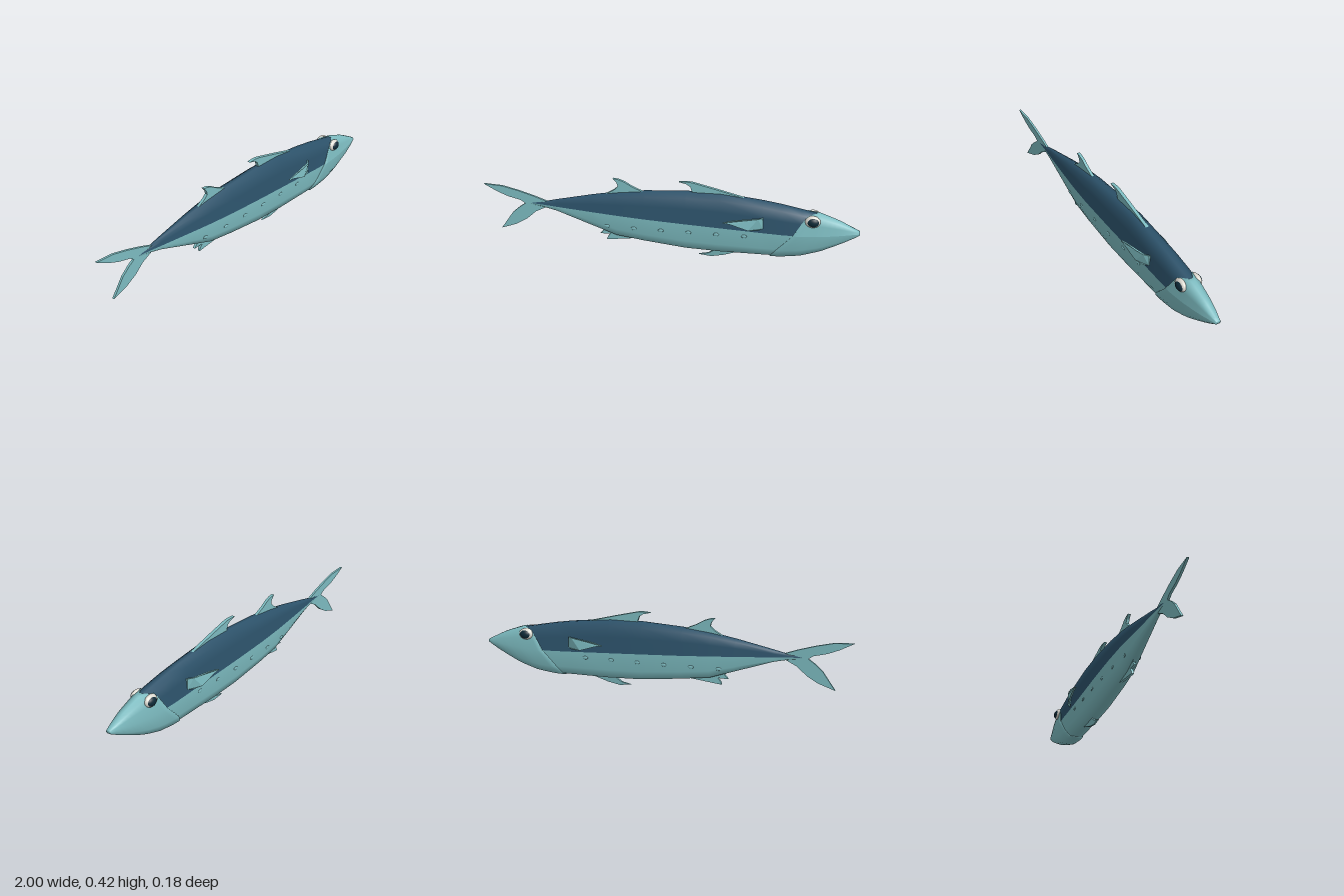
import * as THREE from 'three';

const mat = (name, color, side = THREE.FrontSide) => {
  const m = new THREE.MeshStandardMaterial({ color, side });
  m.name = name;
  return m;
};

// Body stations: x, top, colour split, bottom, half width
const STATIONS = [
  [-0.78, 0.248, 0.245, 0.241, 0.004], [-0.68, 0.254, 0.24, 0.228, 0.01],
  [-0.6, 0.272, 0.236, 0.21, 0.018], [-0.4, 0.313, 0.226, 0.14, 0.036],
  [-0.27, 0.335, 0.22, 0.095, 0.047], [-0.12, 0.352, 0.212, 0.075, 0.054],
  [0.1, 0.364, 0.201, 0.05, 0.057], [0.28, 0.364, 0.192, 0.043, 0.057],
  [0.5, 0.338, 0.181, 0.043, 0.057], [0.6, 0.322, 0.177, 0.044, 0.058],
  [0.7, 0.302, 0.175, 0.056, 0.056], [0.8, 0.282, 0.178, 0.085, 0.049],
  [0.9, 0.248, 0.185, 0.13, 0.037], [0.96, 0.219, 0.19, 0.16, 0.026],
  [1, 0.2, 0.191, 0.182, 0.015],
];

// Half cross-sections: width factor, height factor, x of the gill edge
const UPPER = [[1, 0, 0.66], [0.83, 0.5, 0.7], [0.72, 0.86, 0.73], [0.2, 1, 0.775]];
const LOWER = [[1, 0, 0.66], [0.96, 0.64, 0.58], [0.65, 0.95, 0.55], [0.2, 1, 0.54]];
const flip = (p) => [-p[0], p[1], p[2]];
const upperRing = [...UPPER, ...UPPER.map(flip).reverse()];
const lowerRing = [...LOWER.map(flip), ...[...LOWER].reverse()];

function station(x) {
  let i = 0;
  while (i < STATIONS.length - 2 && STATIONS[i + 1][0] < x) i++;
  const [a, b] = [STATIONS[i], STATIONS[i + 1]];
  const t = THREE.MathUtils.clamp((x - a[0]) / (b[0] - a[0]), 0, 1);
  return a.map((v, k) => v + (b[k] - v) * t);
}

function skinPoint(x, [u, v], up, grow = 0) {
  const [, top, mid, bottom, w] = station(x);
  const end = up ? top : bottom;
  return [x, mid + (end - mid) * v + Math.sign(end - mid) * grow * v, u * (w + grow)];
}

// Surface through rows of points running along +x
function loft(rows) {
  const n = rows[0].length;
  const index = [];
  for (let i = 0; i < rows.length - 1; i++) {
    for (let j = 0; j < n - 1; j++) {
      const a = i * n + j, b = a + n;
      index.push(a, b, a + 1, b, b + 1, a + 1);
    }
  }
  const g = new THREE.BufferGeometry();
  g.setAttribute('position', new THREE.Float32BufferAttribute(rows.flat(2), 3));
  g.setIndex(index);
  g.computeVertexNormals();
  return g;
}

// Flat fin from an outline; bend(x, y, z) may return a new z
function fin(points, thick, bend) {
  const shape = new THREE.Shape(points.map((p) => new THREE.Vector2(...p)));
  const g = new THREE.ExtrudeGeometry(shape, { depth: thick, bevelEnabled: false });
  g.translate(0, 0, -thick / 2);
  if (bend) {
    const p = g.attributes.position;
    for (let i = 0; i < p.count; i++) p.setZ(i, bend(p.getX(i), p.getY(i), p.getZ(i)));
    g.computeVertexNormals();
  }
  return g;
}

export function createModel() {
  const group = new THREE.Group();
  const navy = mat('darkBack', 0x2c526a, THREE.DoubleSide);
  const teal = mat('tealSkin', 0x7dbcc1, THREE.DoubleSide);
  const white = mat('eyeRim', 0xdcd9d0);
  const black = mat('pupil', 0x0e2a38);
  const add = (name, geometry, material) => {
    const m = new THREE.Mesh(geometry, material);
    m.name = name;
    group.add(m);
    return m;
  };

  // Body in two colours, ending inside the head
  const xs = STATIONS.map((s) => s[0]).filter((x) => x < 0.75);
  const bodyXs = [...xs, 0.78];
  add('back', loft(bodyXs.map((x) => upperRing.map((p) => skinPoint(x, p, true)))), navy);
  add('belly', loft(bodyXs.map((x) => lowerRing.map((p) => skinPoint(x, p, false)))), teal);

  // Head with a slanted gill edge, slightly proud of the body
  const ring = [...upperRing.map((p) => [p, true]), ...lowerRing.slice(1).map((p) => [p, false])];
  const headRow = (t, grow) => ring.map(([p, up]) => skinPoint(p[2] + (1 - p[2]) * t, p, up, grow));
  const headRows = [headRow(0, -0.003)];
  for (let i = 0; i <= 12; i++) headRows.push(headRow(i / 12, 0.005 * (1 - i / 12)));
  headRows.push(ring.map(() => [1, 0.191, 0]));
  add('head', loft(headRows), teal);

  // Fins along the midline
  add('frontDorsalFin', fin([[0.5, 0.325], [0.39, 0.352], [0.25, 0.388], [0.13, 0.417], [0.1, 0.42],
    [0.06, 0.417], [0.1, 0.407], [0.12, 0.393], [0.135, 0.35]], 0.018), teal);
  add('rearDorsalFin', fin([[-0.1, 0.34], [-0.14, 0.352], [-0.19, 0.374], [-0.23, 0.398], [-0.26, 0.409],
    [-0.29, 0.413], [-0.27, 0.39], [-0.265, 0.37], [-0.285, 0.35], [-0.34, 0.318], [-0.28, 0.31]], 0.016), teal);
  add('upperTailFin', fin([[-0.62, 0.245], [-0.72, 0.282], [-0.81, 0.31], [-0.9, 0.332], [-1, 0.338],
    [-0.93, 0.3], [-0.87, 0.275], [-0.8, 0.257], [-0.77, 0.236], [-0.68, 0.232]], 0.012), teal);
  add('lowerTailFin', fin([[-0.62, 0.238], [-0.68, 0.25], [-0.77, 0.243], [-0.81, 0.215], [-0.85, 0.18],
    [-0.885, 0.13], [-0.917, 0.085], [-0.83, 0.115], [-0.77, 0.15], [-0.72, 0.195], [-0.66, 0.225]], 0.012), teal);
  add('analFin', fin([[-0.12, 0.085], [-0.26, 0.068], [-0.33, 0.06], [-0.325, 0.075], [-0.31, 0.095],
    [-0.365, 0.093], [-0.345, 0.115], [-0.375, 0.14], [-0.25, 0.13]], 0.014), teal);
  add('pelvicFin', fin([[0.5, 0.05], [0.38, 0.042], [0.3, 0.015], [0.235, 0.002], [0.17, 0.01],
    [0.22, 0.02], [0.25, 0.04], [0.25, 0.055]], 0.018,
  (x, y, z) => z * THREE.MathUtils.clamp(0.4 + y * 13, 0.4, 1)), teal);

  // Curved side fins, eyes and side spots, mirrored
  const curve = [[0.3, 0.087], [0.38, 0.086], [0.43, 0.083], [0.48, 0.071], [0.51, 0.048]];
  const curveZ = (x) => {
    const i = Math.max(0, Math.min(3, curve.findIndex((c) => c[0] > x) - 1));
    const [a, b] = [curve[i], curve[i + 1]];
    return a[1] + (b[1] - a[1]) * (x - a[0]) / (b[0] - a[0]);
  };
  for (const s of [1, -1]) {
    const side = s > 0 ? 'right' : 'left';
    add(side + 'PectoralFin', fin([[0.505, 0.205], [0.505, 0.263], [0.48, 0.264], [0.43, 0.262], [0.38, 0.258],
      [0.34, 0.25], [0.3, 0.238], [0.34, 0.232], [0.38, 0.218], [0.43, 0.202], [0.48, 0.203]], 0.009,
    (x, y, z) => s * curveZ(x) + z), teal);

    const rim = add(side + 'EyeRim', new THREE.SphereGeometry(1, 24, 16), white);
    rim.scale.set(0.04, 0.031, 0.019);
    rim.position.set(0.757, 0.257, s * 0.044);
    const pupil = add(side + 'Pupil', new THREE.SphereGeometry(1, 24, 16), black);
    pupil.scale.set(0.032, 0.025, 0.019);
    pupil.position.set(0.759, 0.256, s * 0.049);
    rim.rotation.x = pupil.rotation.x = -s * 0.15;

    for (let i = 0; i < 6; i++) {
      const x = -0.32 + i * 0.146;
      const [, , mid, bottom, w] = station(x);
      const spot = add(side + 'Spot', new THREE.SphereGeometry(1, 12, 8), teal);
      spot.scale.set(0.015, 0.009, 0.004);
      spot.position.set(x, 0.155, s * w * (1 - 0.06 * (mid - 0.155) / (mid - bottom)));
    }
  }
  return group;
}
